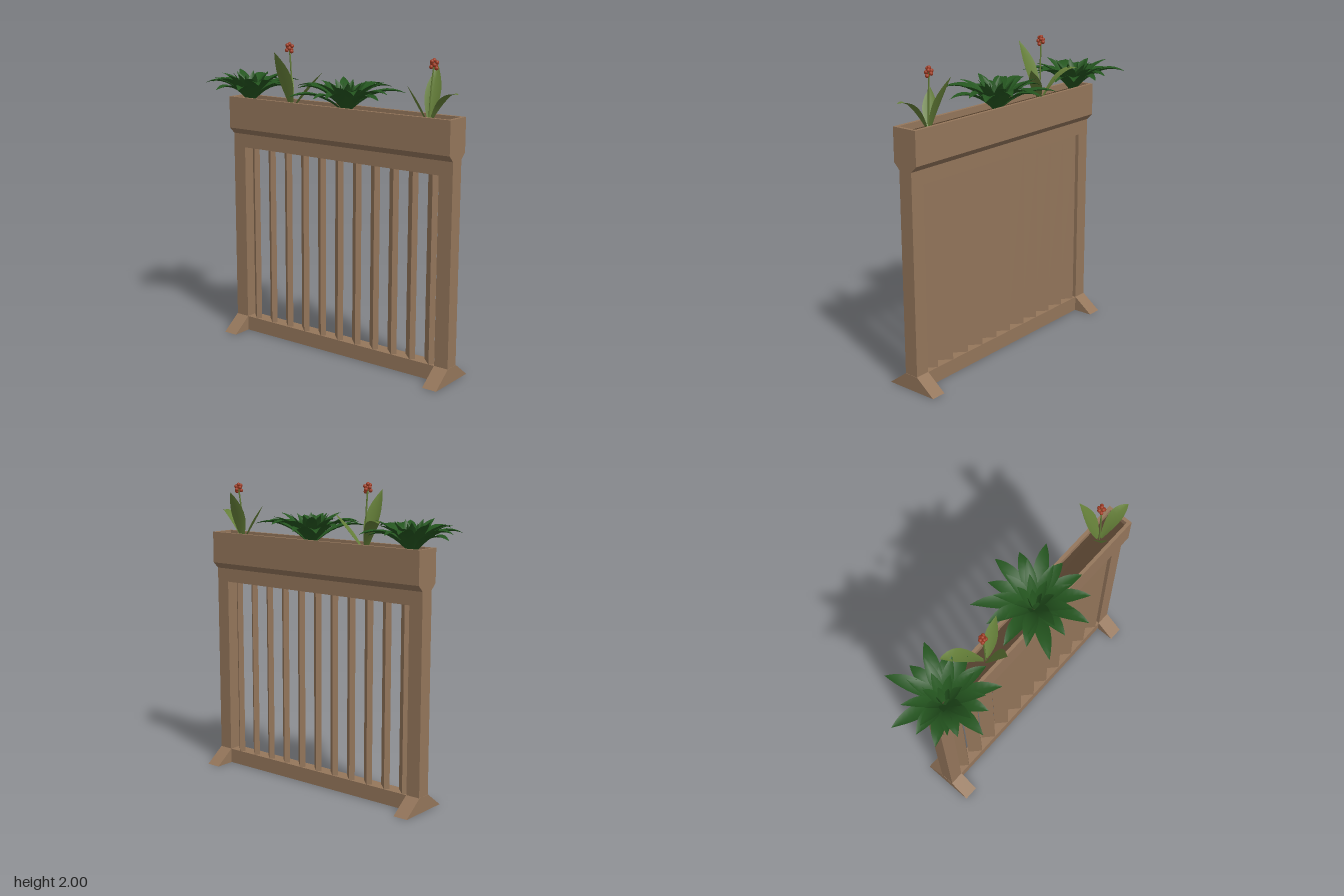
import * as THREE from 'three';
import { mergeGeometries } from 'three/addons/utils/BufferGeometryUtils.js';

const X0 = -0.758, X1 = 0.95, POST = 0.095, HALF = 0.047, TOP = 1.63, SOIL = 1.59;
const rad = THREE.MathUtils.degToRad;

const wood = new THREE.MeshStandardMaterial({ color: 0x94765b, flatShading: true });
const soilMat = new THREE.MeshStandardMaterial({ color: 0x513d2a });
const darkLeaf = new THREE.MeshStandardMaterial({ color: 0x24551f, side: THREE.DoubleSide });
const lightLeaf = new THREE.MeshStandardMaterial({ color: 0x647e38, side: THREE.DoubleSide });
const petal = new THREE.MeshStandardMaterial({ color: 0xa03c24 });

function add(parent, name, geometry, material, x = 0, y = 0, z = 0) {
  const mesh = new THREE.Mesh(geometry, material);
  mesh.name = name;
  mesh.position.set(x, y, z);
  parent.add(mesh);
  return mesh;
}

// Extrude a (z, y) outline along x, from xa to xb
function profileX(points, xa, xb) {
  const shape = new THREE.Shape(points.map(([z, y]) => new THREE.Vector2(z, y)));
  const g = new THREE.ExtrudeGeometry(shape, { depth: xb - xa, bevelEnabled: false });
  return g.rotateY(Math.PI / 2).translate(xa, 0, 0);
}

// Arched, folded leaf from the plant centre: angle a, reach r, tip height, bend control, half width
function leaf(a, r, tipY, ctrlR, ctrlY, width, fold = 0.35) {
  const dir = new THREE.Vector3(Math.cos(a), 0, Math.sin(a));
  const side = new THREE.Vector3(-Math.sin(a), 0, Math.cos(a));
  const at = (d, y) => dir.clone().multiplyScalar(d).setY(y);
  const curve = new THREE.QuadraticBezierCurve3(at(0.012, 0), at(ctrlR, ctrlY), at(r, tipY));
  const pos = [], index = [], n = 9;
  for (let i = 0; i <= n; i++) {
    const t = i / n, p = curve.getPoint(t);
    const up = side.clone().cross(curve.getTangent(t));
    const w = width * (Math.sin(Math.PI * t ** 1.15) * 0.85 + 0.3 * (1 - t) * Math.min(1, t * 3 + 0.6));
    for (const s of [-1, 0, 1]) {
      const q = p.clone().addScaledVector(side, s * w).addScaledVector(up, Math.abs(s) * fold * w);
      pos.push(q.x, q.y, q.z);
    }
    if (i < n) for (const k of [3 * i, 3 * i + 1]) index.push(k, k + 1, k + 3, k + 1, k + 4, k + 3);
  }
  const g = new THREE.BufferGeometry();
  g.setAttribute('position', new THREE.Float32BufferAttribute(pos, 3));
  g.setIndex(index);
  g.computeVertexNormals();
  return g;
}

// Dense rosette: listed outer leaves [degrees, reach], then rising inner rings
function rosette(outer, turn) {
  const leaves = outer.map(([deg, r], i) => {
    const tip = [0.11, 0.15, 0.13][i % 3];
    return leaf(rad(deg), r, tip, r * 0.5, tip + 0.055, 0.045);
  });
  for (let i = 0; i < 9; i++)
    leaves.push(leaf(turn + i * 0.698, 0.225 + 0.02 * (i % 2), 0.17 + 0.015 * (i % 3), 0.1, 0.15, 0.036));
  for (let i = 0; i < 7; i++)
    leaves.push(leaf(turn + 0.35 + i * 0.898, 0.115 + 0.02 * (i % 2), 0.2, 0.06, 0.11, 0.03));
  for (let i = 0; i < 4; i++) leaves.push(leaf(turn + i * 1.571, 0.045, 0.185, 0.035, 0.09, 0.022));
  return mergeGeometries(leaves);
}

// Broad-leaved plant with a stalk and a small flower cluster
function floweringPlant(name, leaves, flower) {
  const group = new THREE.Group();
  group.name = name;
  add(group, 'broadLeaves', mergeGeometries(leaves.map((l) => leaf(...l))), lightLeaf);
  const tip = new THREE.Vector3(...flower);
  const path = new THREE.QuadraticBezierCurve3(new THREE.Vector3(), new THREE.Vector3(tip.x * 0.2, tip.y * 0.6, tip.z * 0.2), tip);
  add(group, 'flowerStem', new THREE.TubeGeometry(path, 8, 0.005, 6), lightLeaf);
  const buds = [];
  for (let i = 0; i < 8; i++) {
    const a = i * 2.4, y = -0.018 + i * 0.0065, r = i === 7 ? 0 : 0.017;
    buds.push(new THREE.SphereGeometry(0.0125, 8, 6).translate(tip.x + r * Math.cos(a), tip.y + y, tip.z + r * Math.sin(a)));
  }
  add(group, 'flower', mergeGeometries(buds), petal);
  return group;
}

export function createModel() {
  const model = new THREE.Group();
  model.name = 'planterScreen';

  // Planter trough with chamfered underside and top rail, closed at both ends
  const wall = 0.022, o = 0.087, i = o - wall;
  const lower = [[-o, TOP], [-o, 1.42], [-HALF, 1.38], [-HALF, 1.29], [HALF, 1.29], [HALF, 1.38], [o, 1.42], [o, TOP]];
  const trough = [...lower, [i, TOP], [i, 1.55], [-i, 1.55], [-i, TOP]];
  add(model, 'planterTrough', profileX(trough, X0 + wall, X1 - wall), wood);
  add(model, 'planterEndRight', profileX(lower, X0, X0 + wall), wood);
  add(model, 'planterEndLeft', profileX(lower, X1 - wall, X1), wood);
  add(model, 'soil', new THREE.BoxGeometry(X1 - X0 - 2 * wall, SOIL - 1.55, 2 * i), soilMat, (X0 + X1) / 2, (SOIL + 1.55) / 2, 0);

  // Posts on splayed feet
  for (const [sideName, x] of [['Right', X0], ['Left', X1 - POST]]) {
    add(model, 'post' + sideName, new THREE.BoxGeometry(POST, 1.19, 2 * HALF), wood, x + POST / 2, 0.695, 0);
    add(model, 'foot' + sideName, profileX([[-0.178, 0], [0.178, 0], [HALF, 0.1], [-HALF, 0.1]], x - 0.002, x + POST + 0.002), wood);
  }

  // Bottom rail
  add(model, 'bottomRail', new THREE.BoxGeometry(X1 - X0 - 2 * POST, 0.098, 2 * HALF), wood, (X0 + X1) / 2, 0.05, 0);

  // Angled louvre slats
  for (let k = 0; k < 11; k++) {
    const slat = add(model, 'slat', new THREE.BoxGeometry(0.098, 1.2, 0.036), wood, -0.605 + k * 0.1395, 0.695, 0);
    slat.rotation.y = -rad(43);
  }

  // Rosettes
  add(model, 'rosetteRight', rosette([[-163, 0.34], [-112, 0.355], [-61, 0.35], [93, 0.32], [40, 0.34], [146, 0.3],
    [-15, 0.31], [13, 0.3], [172, 0.27], [66, 0.27], [119, 0.26], [-88, 0.27], [-38, 0.27]], 0.2), darkLeaf, -0.645, SOIL, 0);
  add(model, 'rosetteLeft', rosette([[-135, 0.38], [-84, 0.345], [-30, 0.37], [18, 0.33], [46, 0.33], [74, 0.35],
    [126, 0.38], [170, 0.35], [-160, 0.32], [-108, 0.3], [-58, 0.31], [-6, 0.29], [100, 0.28], [148, 0.31]], 0.5), darkLeaf, 0.145, SOIL, 0);

  // Flowering plants: leaves as [angle, reach, tip height, bend reach, bend height, half width, fold]
  const tall = floweringPlant('floweringPlantRight', [
    [rad(-145), 0.265, 0.185, 0.15, 0.23, 0.045, 0.2],
    [rad(-22), 0.2, 0.225, 0.1, 0.1, 0.04, 0.3],
    [rad(90), 0.175, 0.365, 0.075, 0.18, 0.056, 0.3],
  ], [-0.015, 0.375, 0.005]);
  tall.position.set(-0.29, SOIL, 0);
  const small = floweringPlant('floweringPlantLeft', [
    [rad(-103), 0.155, 0.32, 0.06, 0.15, 0.05, 0.3],
    [rad(8), 0.22, 0.18, 0.12, 0.2, 0.044, 0.2],
    [rad(142), 0.135, 0.22, 0.075, 0.1, 0.042, 0.3],
  ], [0.012, 0.335, -0.025]);
  small.position.set(0.75, SOIL, 0);
  model.add(tall, small);

  return model;
}
